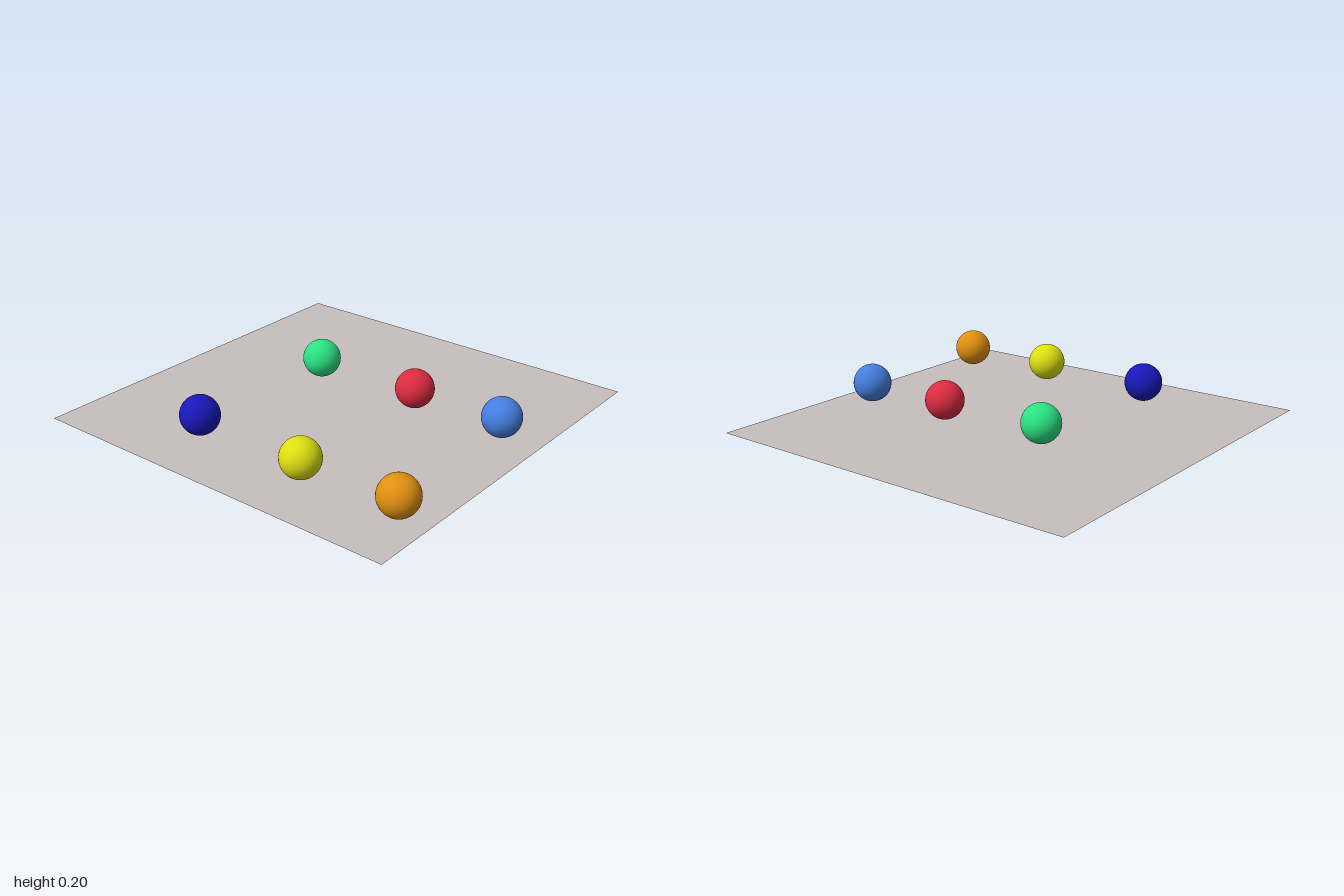
import * as THREE from 'three';

export function createModel() {
  const model = new THREE.Group();
  model.name = 'ballsOnBoard';

  // Thin square board
  const board = new THREE.Mesh(
    new THREE.PlaneGeometry(2, 2).rotateX(-Math.PI / 2),
    new THREE.MeshStandardMaterial({ color: 0xc8bebe, side: THREE.DoubleSide })
  );
  board.name = 'board';
  model.add(board);

  // Balls: name, colour, x, z
  const ballGeometry = new THREE.SphereGeometry(0.098, 32, 32);
  const balls = [
    ['greenBall', 0x2ae282, -0.3, -0.2],
    ['redBall', 0xdc2c40, 0.295, -0.2],
    ['lightBlueBall', 0x467ee0, 0.795, -0.2],
    ['darkBlueBall', 0x1818b8, -0.32, 0.67],
    ['yellowBall', 0xdce010, 0.32, 0.69],
    ['orangeBall', 0xe09010, 0.845, 0.68],
  ];
  for (const [name, color, x, z] of balls) {
    const ball = new THREE.Mesh(ballGeometry, new THREE.MeshStandardMaterial({ color }));
    ball.name = name;
    ball.position.set(x, 0.105, z);
    model.add(ball);
  }
  return model;
}
